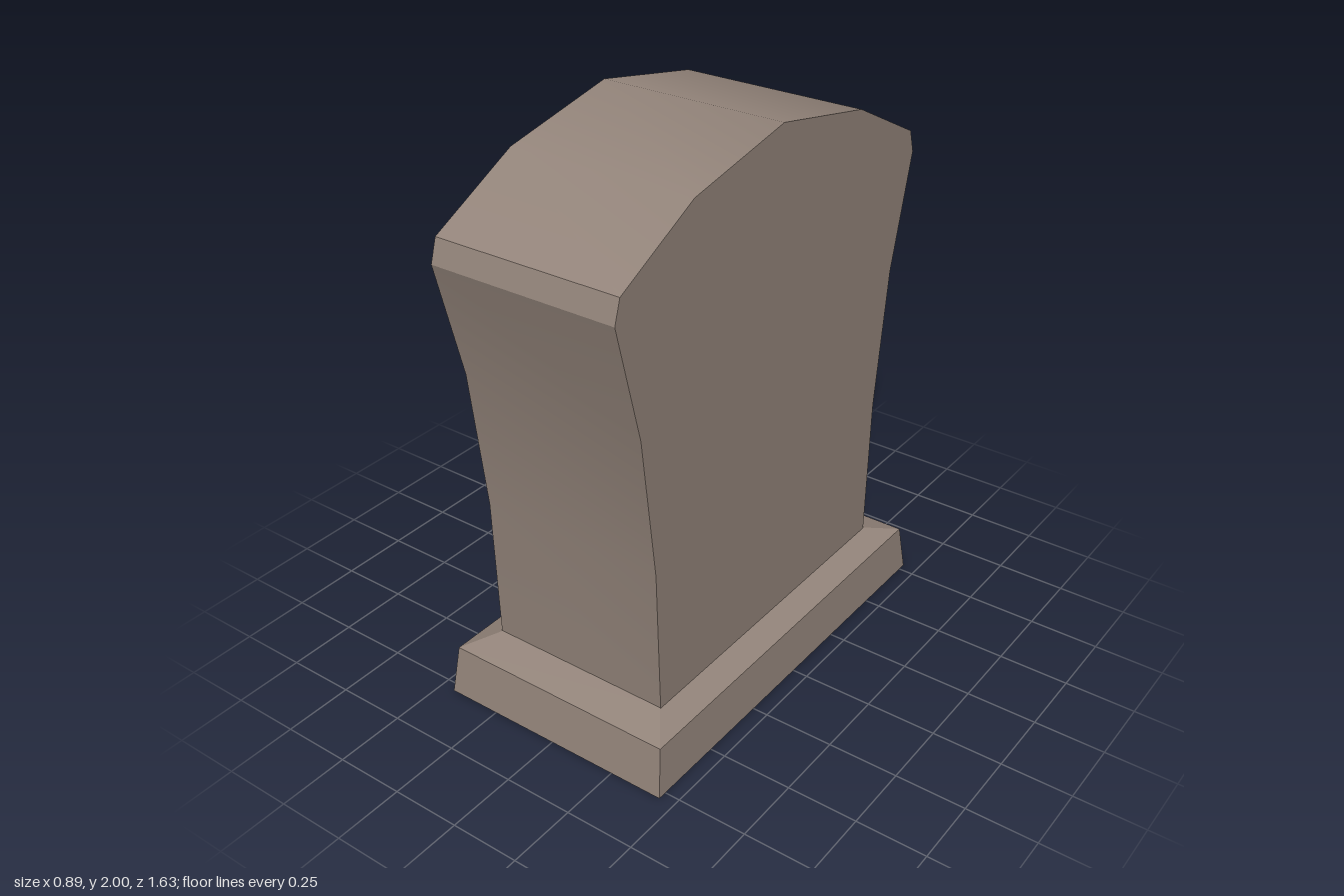
import * as THREE from 'three';
import { mergeGeometries, toCreasedNormals } from 'three/addons/utils/BufferGeometryUtils.js';

const W = 0.34; // half thickness of the slab
const stone = new THREE.MeshStandardMaterial({ color: 0x93847a });
stone.name = 'stone';

// half outline as [z, y], mirrored over z into a full one that runs -z, top, +z
const mirrored = (half) => [
  ...half.map(([z, y]) => [-z, y]),
  ...half.slice().reverse().filter(([z]) => z > 0),
];
const shapeOf = (pts) => new THREE.Shape(pts.map(([a, b]) => new THREE.Vector2(a, b)));

function trianglesOf(points) {
  const g = new THREE.BufferGeometry();
  g.setAttribute('position', new THREE.Float32BufferAttribute(points.flat(), 3));
  return g;
}
const quad = (a, b, c, d) => trianglesOf([a, b, c, a, c, d]);

function flatFace(shape, turn) {
  const g = new THREE.ShapeGeometry(shape).toNonIndexed();
  g.deleteAttribute('uv');
  g.deleteAttribute('normal');
  return g.rotateY(turn);
}

function stoneMesh(name, parts, crease) {
  const mesh = new THREE.Mesh(toCreasedNormals(mergeGeometries(parts), crease), stone);
  mesh.name = name;
  return mesh;
}

const outline = mirrored([
  [0.632, 0.2], [0.648, 0.74], [0.71, 1.25], [0.815, 1.66], [0.79, 1.74], [0.45, 1.912], [0, 2],
]);
const panel = mirrored([
  [0.475, 0.235], [0.49, 0.74], [0.53, 1.17], [0.6, 1.606], [0.37, 1.728], [0, 1.81],
]);

// z of the upper back segment, which carries the chip
const backZ = (y) => -0.71 - ((y - 1.25) * 0.105) / 0.41;
const chip = {
  top: [-W, 1.53, backZ(1.53)],
  bottom: [-W, 1.425, backZ(1.425)],
  back: [-0.195, 1.485, backZ(1.485)],
  side: [-W, 1.468, -0.635],
};

function createSlab() {
  const parts = [];

  // rim around the outline; segment 2 is the chipped one
  for (let i = 0; i < outline.length - 1; i++) {
    const [z0, y0] = outline[i], [z1, y1] = outline[i + 1];
    if (i !== 2) {
      parts.push(quad([-W, y0, z0], [-W, y1, z1], [W, y1, z1], [W, y0, z0]));
      continue;
    }
    const { top, bottom, back } = chip;
    const face = flatFace(shapeOf([
      [W, y0], [-bottom[0], bottom[1]], [-back[0], back[1]], [-top[0], top[1]],
      [W, y1], [-W, y1], [-W, y0],
    ]), Math.PI);
    const p = face.attributes.position;
    for (let k = 0; k < p.count; k++) p.setZ(k, backZ(p.getY(k)));
    parts.push(face);
  }

  // plain side
  parts.push(flatFace(shapeOf(outline), Math.PI / 2).translate(W, 0, 0));

  // carved side with the panel opening and the chipped edge
  const zy = ([, y, z]) => [z, y];
  const carved = shapeOf([
    ...outline.slice(0, 3), zy(chip.bottom), zy(chip.side), zy(chip.top), ...outline.slice(3),
  ]);
  carved.holes.push(shapeOf(panel));
  parts.push(flatFace(carved, -Math.PI / 2).translate(-W, 0, 0));
  return stoneMesh('slab', parts, 0.49);
}

function createChip() {
  const { top, bottom, back, side } = chip;
  return stoneMesh('chippedEdge', [trianglesOf([top, back, side, bottom, side, back])], 0.2);
}

// sunken panel with sloping walls
function createPanel() {
  const floorX = -W + 0.043;
  const inner = panel.map(([z, y]) => {
    const t = (y - 0.235) / 1.4;
    return [z * (1 - 0.075 * t), y + 0.02 - 0.06 * t];
  });
  const parts = [flatFace(shapeOf(inner), -Math.PI / 2).translate(floorX, 0, 0)];
  panel.forEach(([z0, y0], i) => {
    const j = (i + 1) % panel.length;
    const [z1, y1] = panel[j];
    parts.push(quad(
      [-W, y0, z0],
      [floorX, inner[i][1], inner[i][0]],
      [floorX, inner[j][1], inner[j][0]],
      [-W, y1, z1],
    ));
  });
  return stoneMesh('recessedPanel', parts, 0.4);
}

// plinth from rectangular rings: [half x, y, half z]
function createPlinth() {
  const rings = [[0.445, 0, 0.782], [0.43, 0.177, 0.755], [0.335, 0.215, 0.63]].map(
    ([x, y, z]) => [[-x, y, z], [x, y, z], [x, y, -z], [-x, y, -z]]);
  const parts = [];
  for (let r = 0; r < 2; r++) {
    for (let i = 0; i < 4; i++) {
      const j = (i + 1) % 4;
      parts.push(quad(rings[r][i], rings[r][j], rings[r + 1][j], rings[r + 1][i]));
    }
  }
  parts.push(quad(...rings[2]), quad(...rings[0].slice().reverse()));
  return stoneMesh('plinth', parts, 0.1);
}

export function createModel() {
  const model = new THREE.Group();
  model.name = 'headstone';
  model.add(createPlinth(), createSlab(), createChip(), createPanel());
  return model;
}
